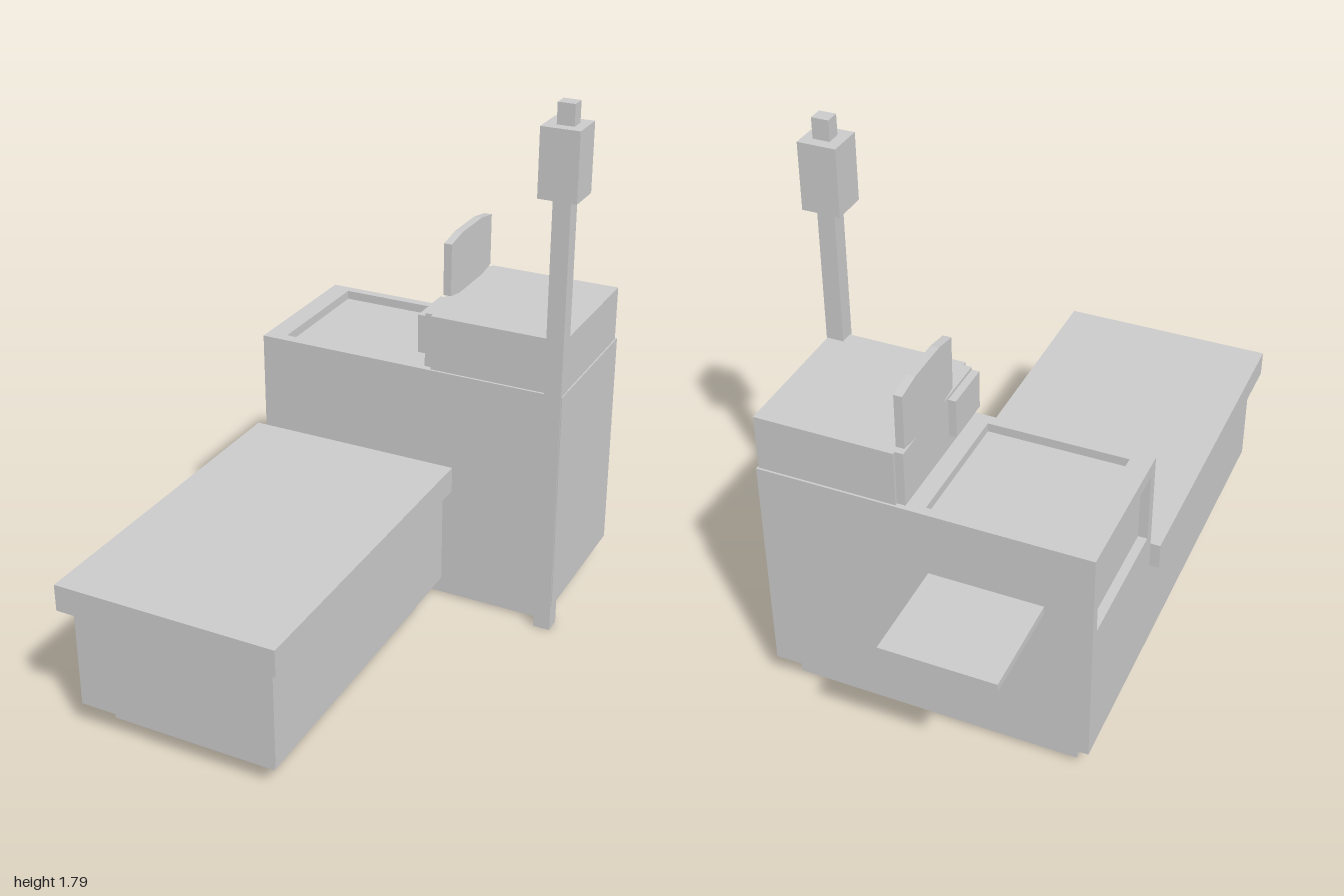
import * as THREE from 'three';

const material = new THREE.MeshStandardMaterial({ color: 0xcccccc, flatShading: true });

export function createModel() {
  const model = new THREE.Group();

  const add = (name, geometry) => {
    const mesh = new THREE.Mesh(geometry, material);
    mesh.name = name;
    model.add(mesh);
    return mesh;
  };

  // Box given by its limits on each axis
  const box = (name, [x0, x1], [y0, y1], [z0, z1]) => {
    const mesh = add(name, new THREE.BoxGeometry(x1 - x0, y1 - y0, z1 - z0));
    mesh.position.set((x0 + x1) / 2, (y0 + y1) / 2, (z0 + z1) / 2);
  };

  const outline = (points) => points.map(([a, b]) => new THREE.Vector2(a, b));
  const rect = ([a0, a1], [b0, b1]) => [[a0, b0], [a1, b0], [a1, b1], [a0, b1]];
  const extrude = (points, depth, hole) => {
    const shape = new THREE.Shape(outline(points));
    if (hole) shape.holes.push(new THREE.Path(outline(hole)));
    return new THREE.ExtrudeGeometry(shape, { depth, bevelEnabled: false });
  };

  // Side profile drawn as (z, y), extruded from x1 down to x0
  const profile = (name, points, [x0, x1], hole) =>
    add(name, extrude(points, x1 - x0, hole).rotateY(-Math.PI / 2).translate(x1, 0, 0));

  // Bagging bench
  box('benchPlinth', [-0.48, 0.08], [0, 0.09], [-0.07, 0.88]);
  box('benchBody', [-0.535, 0.135], [0.09, 0.432], [-0.157, 0.963]);
  box('benchTop', [-0.567, 0.167], [0.432, 0.52], [-0.157, 1]);

  // Cabinet: solid core with a rimmed tray on top and a recessed side panel
  const depthZ = [-0.667, -0.157];
  box('cabinetPlinth', [-0.48, 0.48], [0, 0.09], [-0.615, -0.207]);
  box('cabinetCore', [-0.505, 0.535], [0.09, 0.825], depthZ);
  profile('cabinetSidePanel', rect(depthZ, [0.09, 0.825]), [-0.535, -0.505],
    rect([-0.635, -0.195], [0.57, 0.81]));
  add('trayRim', extrude(rect([-0.535, 0.535], [0.157, 0.667]), 0.03,
    rect([-0.465, -0.005], [0.195, 0.635]))
    .rotateX(-Math.PI / 2).translate(0, 0.825, 0));

  // Raised counter beside the tray
  box('raisedCounter', [0.08, 0.53], [0.855, 1.04], [-0.66, -0.165]);

  // Screen on its mounting plate, with a card reader in front
  box('screenMount', [0.053, 0.08], [0.855, 1.04], [-0.65, -0.18]);
  profile('screen', [
    [-0.64, 1.052], [-0.555, 1.038], [-0.4, 1.038], [-0.317, 1.052],
    [-0.317, 1.23], [-0.4, 1.245], [-0.555, 1.245], [-0.64, 1.23],
  ], [0.053, 0.08]);
  box('cardReader', [0.028, 0.053], [0.9, 1.03], [-0.35, -0.18]);

  // Signal light on a tall post
  box('lightPost', [0.475, 0.532], [0, 1.5], [-0.208, -0.153]);
  box('lightHead', [0.438, 0.562], [1.5, 1.72], [-0.241, -0.121]);
  box('lightCap', [0.475, 0.53], [1.72, 1.787], [-0.205, -0.157]);

  // Rear shelf with its tapered bracket
  box('rearShelf', [-0.385, -0.02], [0.61, 0.637], [-1, -0.667]);
  profile('shelfBracket', [[-0.667, 0.515], [-0.667, 0.61], [-0.995, 0.61]], [-0.228, -0.178]);

  return model;
}
